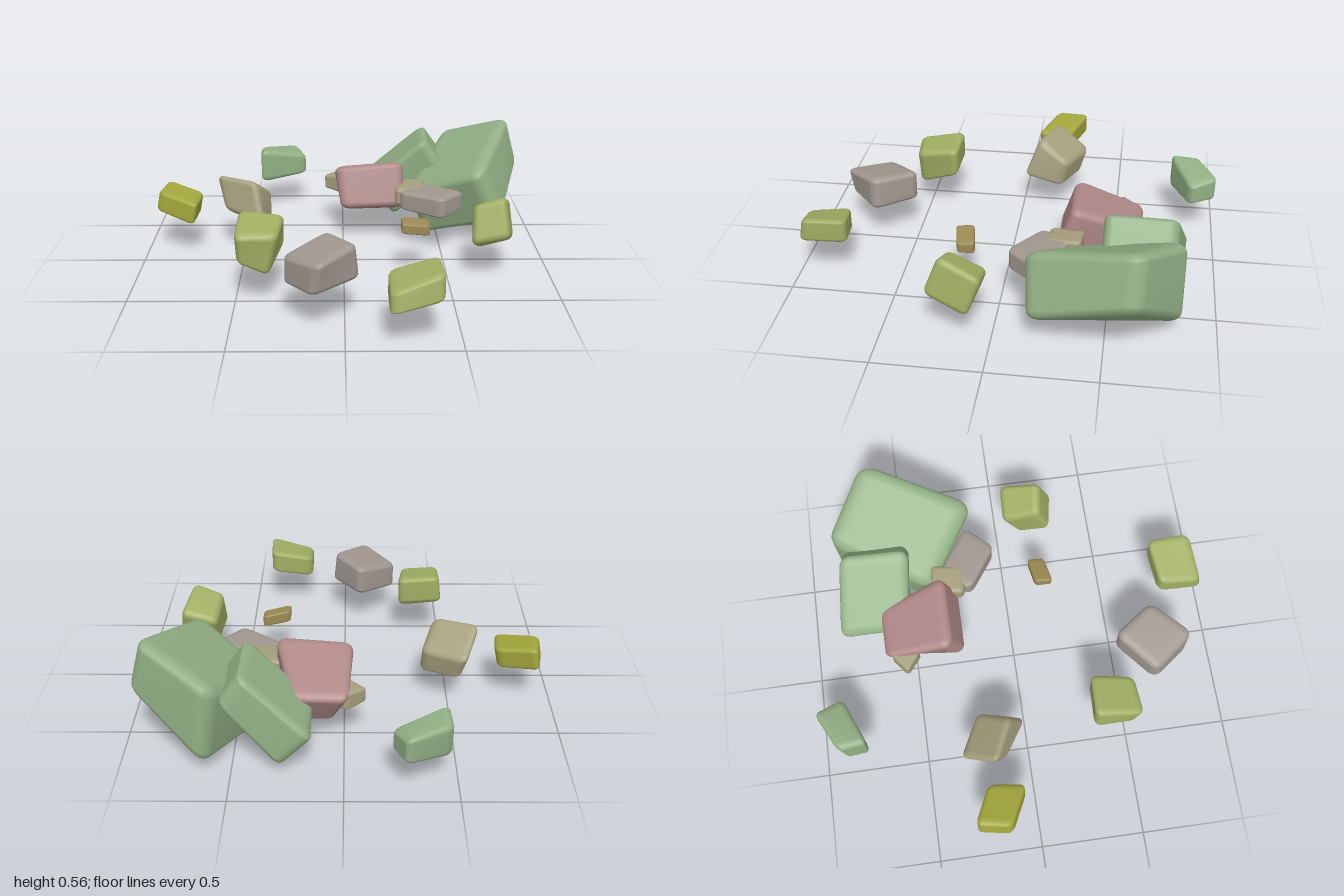
import * as THREE from 'three';
import { mergeVertices } from 'three/addons/utils/BufferGeometryUtils.js';
import { RoundedBoxGeometry } from 'three/addons/geometries/RoundedBoxGeometry.js';

const paint = (name, color) => {
  const m = new THREE.MeshStandardMaterial({ color });
  m.name = name;
  return m;
};

// Soft-edged block warped to four upright edges, ordered back-left, back-right, front-right, front-left.
// Each edge is [x, z, topY, bottomY, bottomDx, bottomDz].
function rockGeometry(edges, radius) {
  const tops = edges.map(([x, z, t]) => new THREE.Vector3(x, t, z));
  const bottoms = edges.map(([x, z, , b, dx = 0, dz = 0]) => new THREE.Vector3(x + dx, b, z + dz));
  const corners = [...tops, ...bottoms];
  const centre = new THREE.Vector3();
  corners.forEach((c) => centre.addScaledVector(c, 1 / 8));
  // rounding trims the corners, so spread them a little
  corners.forEach((c) => c.sub(centre).multiplyScalar(1.06).add(centre));

  let geo = new RoundedBoxGeometry(1, 1, 1, 3, radius);
  const pos = geo.attributes.position;
  const p = new THREE.Vector3();
  for (let i = 0; i < pos.count; i++) {
    const u = pos.getX(i) + 0.5, v = pos.getY(i) + 0.5, w = pos.getZ(i) + 0.5;
    const weights = [(1 - u) * (1 - w), u * (1 - w), u * w, (1 - u) * w];
    p.set(0, 0, 0);
    weights.forEach((k, j) => {
      p.addScaledVector(tops[j], k * v).addScaledVector(bottoms[j], k * (1 - v));
    });
    pos.setXYZ(i, p.x, p.y, p.z);
  }
  geo.deleteAttribute('normal');
  geo.deleteAttribute('uv');
  geo = mergeVertices(geo, 1e-5);
  geo.computeVertexNormals();
  return geo;
}

export function createModel() {
  const group = new THREE.Group();
  const green = paint('moss green', 0x92b085);
  const olive = paint('olive green', 0xa0ae63);
  const yellow = paint('yellow olive', 0xa3a63c);
  const tan = paint('tan', 0xa59f7d);
  const brown = paint('brown', 0x9b8a54);
  const grey = paint('warm grey', 0xa1978f);
  const pink = paint('dusty pink', 0xae8887);

  const rock = (name, material, edges, radius = 0.17) => {
    const mesh = new THREE.Mesh(rockGeometry(edges, radius), material);
    mesh.name = name;
    group.add(mesh);
  };

  // Boulder cluster
  rock('largeBoulder', green, [
    [0.57, -0.84, 0.46, 0.07, 0.05, 0], [0.89, -0.63, 0.58, 0.34, 0.06, 0],
    [0.68, -0.13, 0.42, 0.15, 0.13, -0.02], [0.34, -0.38, 0.25, -0.01, 0.09, -0.04]], 0.15);
  rock('leaningBoulder', green, [
    [0.14, -0.85, 0.22, 0.06, 0.15, 0.02], [0.44, -0.79, 0.49, 0.35, 0.1, 0],
    [0.43, -0.47, 0.49, 0.35, 0.1, 0], [0.14, -0.52, 0.22, 0.06, 0.15, 0]], 0.14);
  rock('pinkBoulder', pink, [
    [-0.02, -0.64, 0.28, 0.11, 0.08, 0.1], [0.23, -0.64, 0.29, 0.11, 0, 0.1],
    [0.31, -0.32, 0.42, 0.2, 0.01, 0.07], [-0.04, -0.32, 0.39, 0.19, 0.03, 0.07]], 0.15);

  // Stones tucked against the cluster
  rock('greyClusterStone', grey, [
    [0.29, -0.18, 0.3, 0.21], [0.39, -0.32, 0.31, 0.22],
    [0.61, -0.17, 0.31, 0.21], [0.49, -0.04, 0.31, 0.2]]);
  rock('tanClusterStone', tan, [
    [0.27, -0.22, 0.3, 0.22], [0.29, -0.37, 0.31, 0.22],
    [0.42, -0.36, 0.32, 0.22], [0.4, -0.2, 0.31, 0.22]]);
  rock('tanSideStone', tan, [
    [-0.1, -0.54, 0.28, 0.21], [-0.01, -0.61, 0.29, 0.2],
    [0.07, -0.54, 0.3, 0.2], [-0.01, -0.47, 0.29, 0.2]]);

  // Loose stones in the ring
  rock('yellowStone', yellow, [
    [-0.9, -0.3, 0.33, 0.22, -0.02, 0], [-0.72, -0.22, 0.29, 0.19, -0.02, 0],
    [-0.74, -0.05, 0.28, 0.17, -0.02, 0], [-0.93, -0.14, 0.32, 0.22, -0.02, 0]]);
  rock('tanStone', tan, [
    [-0.57, -0.33, 0.29, 0.17, 0.03, 0.04], [-0.37, -0.23, 0.29, 0.16, 0, 0.03],
    [-0.44, -0.08, 0.39, 0.19, 0.04, 0.08], [-0.64, -0.17, 0.4, 0.23, 0.04, 0.04]]);
  rock('sageStone', green, [
    [-0.46, -0.91, 0.33, 0.16, 0, 0.03], [-0.27, -1, 0.32, 0.2],
    [-0.21, -0.87, 0.29, 0.19], [-0.45, -0.77, 0.35, 0.17]]);
  rock('oliveLeftStone', olive, [
    [-0.48, 0.33, 0.39, 0.25, -0.02, 0], [-0.28, 0.34, 0.37, 0.23],
    [-0.3, 0.54, 0.34, 0.14, -0.05, 0], [-0.49, 0.56, 0.34, 0.2, 0.01, -0.03]]);
  rock('greyStone', grey, [
    [-0.27, 0.67, 0.3, 0.17], [-0.08, 0.5, 0.35, 0.2],
    [0.05, 0.69, 0.36, 0.2, 0.02, 0], [-0.11, 0.87, 0.33, 0.18, -0.03, -0.02]]);
  rock('oliveFrontStone', olive, [
    [0.19, 0.78, 0.28, 0.17], [0.4, 0.75, 0.33, 0.21],
    [0.41, 0.95, 0.33, 0.21, 0, 0.02], [0.19, 0.98, 0.25, 0.16, 0, 0.02]]);
  rock('oliveRightStone', olive, [
    [0.64, 0.03, 0.29, 0.12, 0.01, 0.09], [0.81, 0.04, 0.34, 0.16, 0.02, 0.06],
    [0.76, 0.23, 0.41, 0.23, 0.02, 0.07], [0.62, 0.21, 0.36, 0.19, -0.01, 0.06]]);
  rock('brownPebble', brown, [
    [0.28, 0.15, 0.29, 0.23], [0.41, 0.13, 0.27, 0.21],
    [0.41, 0.21, 0.26, 0.21], [0.28, 0.235, 0.28, 0.23]]);

  return group;
}
